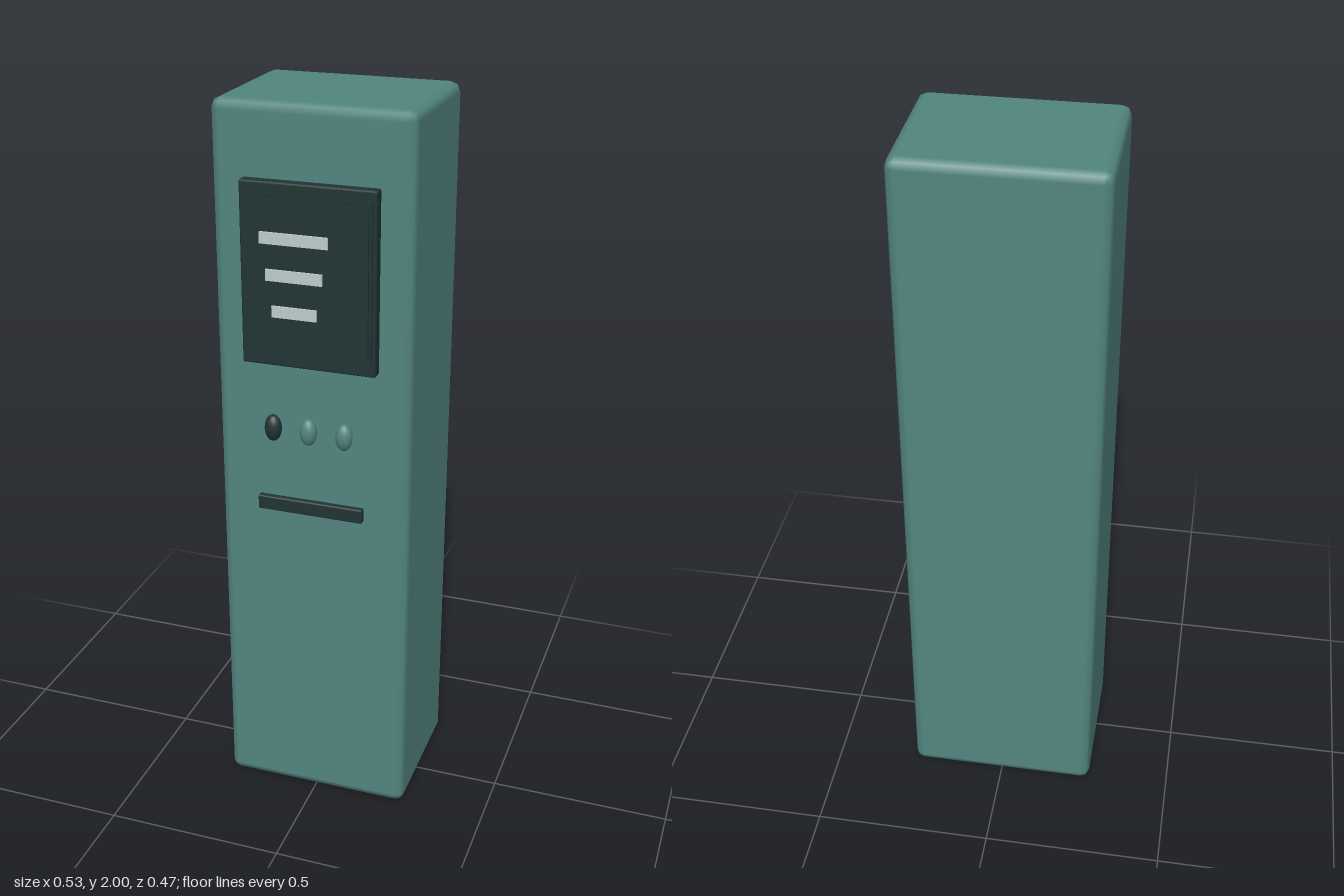
import * as THREE from 'three';
import { RoundedBoxGeometry } from 'three/addons/geometries/RoundedBoxGeometry.js';

const material = (name, color) => {
  const m = new THREE.MeshStandardMaterial({ color });
  m.name = name;
  return m;
};

export function createModel() {
  const group = new THREE.Group();
  const teal = material('teal', 0x52857f);
  const dark = material('dark', 0x213433);
  const pale = material('pale', 0xbfcdcd);

  const add = (name, geometry, mat, x, y, z) => {
    const mesh = new THREE.Mesh(geometry, mat);
    mesh.name = name;
    mesh.position.set(x, y, z);
    group.add(mesh);
    return mesh;
  };
  // Box given by its limits, rounded when a radius is set
  const block = (name, mat, [x0, x1], [y0, y1], [z0, z1], radius = 0) => {
    const size = [x1 - x0, y1 - y0, z1 - z0];
    const geometry = radius
      ? new RoundedBoxGeometry(...size, 1, radius)
      : new THREE.BoxGeometry(...size);
    return add(name, geometry, mat, (x0 + x1) / 2, (y0 + y1) / 2, (z0 + z1) / 2);
  };

  // Tall cabinet
  block('cabinet', teal, [-0.267, 0.267], [0, 2], [-0.235, 0.182], 0.026);

  // Stepped display
  block('displayFrame', dark, [-0.18, 0.18], [1.332, 1.812], [0.17, 0.212], 0.005);
  block('displayRim', dark, [-0.17, 0.17], [1.357, 1.785], [0.2, 0.219]);
  block('displayScreen', dark, [-0.163, 0.163], [1.372, 1.772], [0.21, 0.226]);

  // Lines on the screen, shorter towards the bottom
  [0.09, 0.075, 0.06].forEach((half, i) => {
    const y = 1.676 - i * 0.095;
    block('screenLine' + (i + 1), pale, [-0.03 - half, -0.03 + half], [y - 0.015, y + 0.015], [0.224, 0.232]);
  });

  // Oval buttons
  [dark, teal, teal].forEach((mat, i) => {
    const button = add('button' + (i + 1), new THREE.SphereGeometry(1, 16, 12), mat, -0.1 + i * 0.098, 1.156, 0.209);
    button.scale.set(0.023, 0.037, 0.021);
  });

  // Card slot
  block('slot', dark, [-0.148, 0.146], [0.91, 0.95], [0.189, 0.209], 0.004);

  return group;
}
